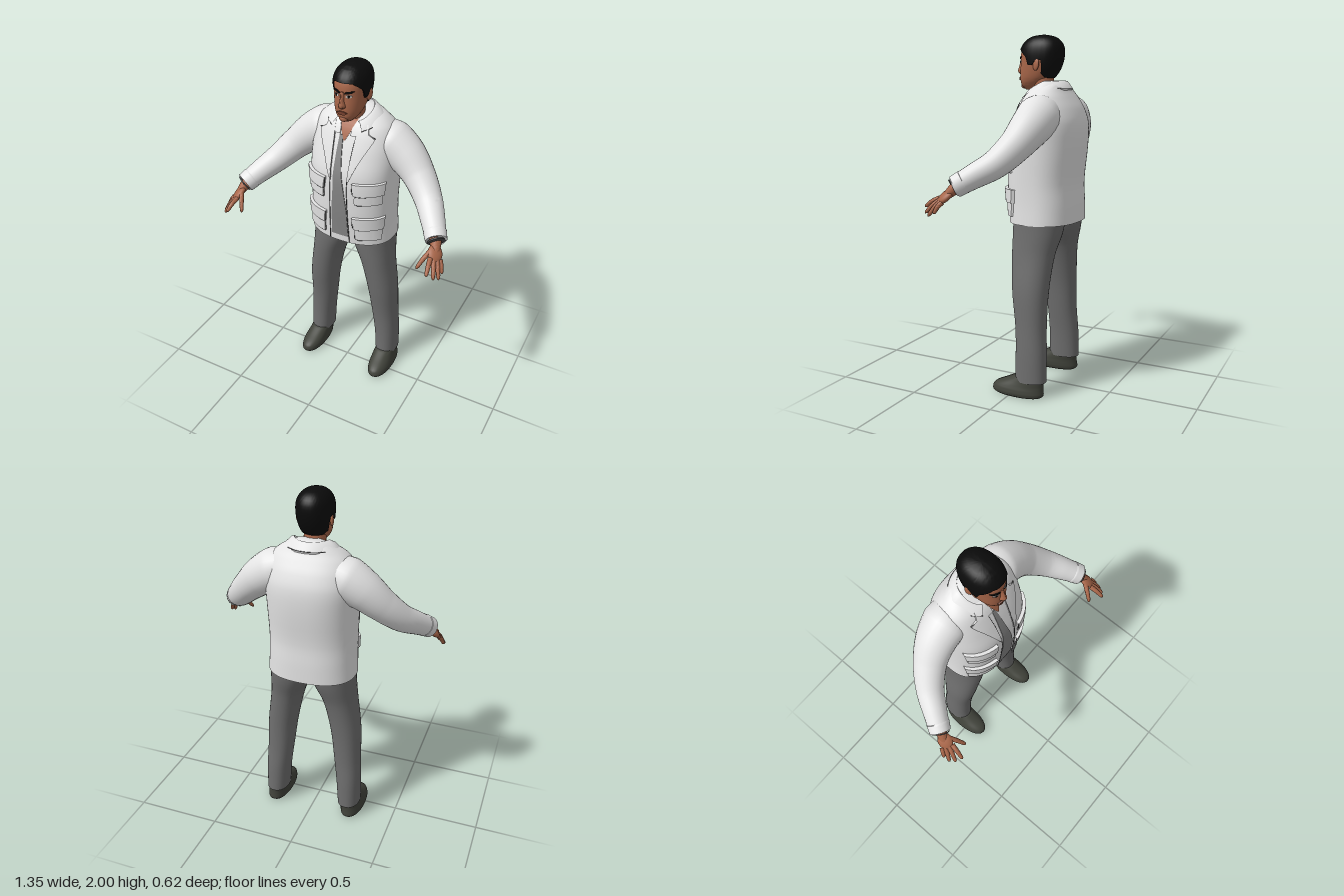
import * as THREE from 'three';
import { mergeVertices, toCreasedNormals } from 'three/addons/utils/BufferGeometryUtils.js';

const V = (x, y, z) => new THREE.Vector3(x, y, z);
const { clamp, lerp } = THREE.MathUtils;
const material = (name, color) => Object.assign(new THREE.MeshStandardMaterial({ color }), { name });

// Surface from a rule: normal follows dU x dV
function grid(nu, nv, fn, crease = 0.9) {
  const pos = [], index = [];
  for (let i = 0; i <= nu; i++) for (let j = 0; j <= nv; j++) pos.push(...fn(i, j));
  for (let i = 0; i < nu; i++) for (let j = 0; j < nv; j++) {
    const a = i * (nv + 1) + j, b = a + nv + 1;
    index.push(a, b, a + 1, b, b + 1, a + 1);
  }
  const g = new THREE.BufferGeometry();
  g.setAttribute('position', new THREE.Float32BufferAttribute(pos, 3));
  g.setIndex(index);
  return toCreasedNormals(mergeVertices(g, 1e-5), crease);
}

// Smooth cross-section at height y; rows are [y, centreX, halfWidth, frontZ, backZ]
function sample(rows, y) {
  let i = 0;
  while (i < rows.length - 2 && y > rows[i + 1][0]) i++;
  const a = rows[i], b = rows[i + 1], p = rows[i - 1] || a, n = rows[i + 2] || b;
  const h = b[0] - a[0], t = clamp((y - a[0]) / h, 0, 1), t2 = t * t, t3 = t2 * t;
  return a.map((_, k) => {
    const m0 = (b[k] - p[k]) / (b[0] - p[0]) * h, m1 = (n[k] - a[k]) / (n[0] - a[0]) * h;
    return a[k] * (2 * t3 - 3 * t2 + 1) + m0 * (t3 - 2 * t2 + t) + b[k] * (3 * t2 - 2 * t3) + m1 * (t3 - t2);
  });
}
const power = (c, n) => Math.sign(c) * Math.abs(c) ** (2 / n);
function ringPoint(rows, y, a, n, out = 0) {
  const [, cx, hw, zf, zb] = sample(rows, y);
  return [cx + (hw + out) * power(Math.cos(a), n), y, (zf + zb) / 2 + ((zf - zb) / 2 + out) * power(Math.sin(a), n)];
}
function loft(rows, n = 2.2, sides = 36, per = 4) {
  const steps = (rows.length - 1) * per;
  return grid(steps + 2, sides, (i, j) => {
    const k = clamp(i - 1, 0, steps) / per, r = Math.min(Math.floor(k), rows.length - 2);
    const y = lerp(rows[r][0], rows[r + 1][0], k - r);
    if (i === 0 || i === steps + 2) { const s = sample(rows, y); return [s[1], y, (s[3] + s[4]) / 2]; }
    return ringPoint(rows, y, (j % sides) / sides * Math.PI * 2, n);
  });
}
function frontZ(rows, n, x, y) {
  const [, cx, hw, zf, zb] = sample(rows, y);
  const k = Math.min(1, Math.abs((x - cx) / hw));
  return (zf + zb) / 2 + (zf - zb) / 2 * (1 - k ** n) ** (1 / n);
}
// Plate lying on the front of a loft; edges are [y, x0, x1] from low to high
function plate(rows, n, edges, off, s = 1) {
  const N = 14;
  return grid(N + 2, N + 2, (i, j) => {
    const u = clamp((i - 1) / N, 0, 1), y = lerp(edges[0][0], edges.at(-1)[0], clamp((j - 1) / N, 0, 1));
    let r = 0;
    while (r < edges.length - 2 && y > edges[r + 1][0]) r++;
    const a = edges[r], b = edges[r + 1], t = (y - a[0]) / (b[0] - a[0]);
    const x0 = lerp(a[1], b[1], t), x1 = lerp(a[2], b[2], t);
    const x = s > 0 ? lerp(x0, x1, u) : lerp(-x1, -x0, u);
    const rim = i === 0 || j === 0 || i === N + 2 || j === N + 2;
    const o = rim ? -0.003 : off;
    return [x * (1 + o * 2), y, frontZ(rows, n, x, y) + o];
  });
}
// Tapered tube; points are [x, y, z, radius]
function limb(points, s = 1, seg = 28, sides = 20) {
  const curve = new THREE.CatmullRomCurve3(points.map(p => V(p[0] * s, p[1], p[2])));
  const g = new THREE.TubeGeometry(curve, seg, 1, sides), pos = g.attributes.position, v = V(0, 0, 0);
  for (let i = 0; i <= seg; i++) {
    const c = curve.getPointAt(i / seg), t = curve.getUtoTmapping(i / seg) * (points.length - 1);
    const k = Math.min(Math.floor(t), points.length - 2), r = lerp(points[k][3], points[k + 1][3], t - k);
    for (let j = 0; j <= sides; j++) {
      const id = i * (sides + 1) + j;
      v.fromBufferAttribute(pos, id).sub(c).multiplyScalar(r).add(c);
      pos.setXYZ(id, v.x, v.y, v.z);
    }
  }
  g.deleteAttribute('uv');
  g.deleteAttribute('normal');
  return toCreasedNormals(mergeVertices(g, 1e-5), 0.9);
}

const TORSO = [[0.975, 0, 0.252, 0.085, -0.298], [1.08, 0, 0.247, 0.092, -0.297], [1.2, 0, 0.246, 0.1, -0.293],
  [1.4, 0, 0.25, 0.098, -0.313], [1.52, 0, 0.25, 0.062, -0.312], [1.6, 0, 0.238, 0.03, -0.285],
  [1.66, 0, 0.213, 0, -0.25], [1.695, 0, 0.175, -0.03, -0.228], [1.725, 0, 0.125, -0.08, -0.212], [1.75, 0, 0.075, -0.12, -0.19]];
const HEAD = [[1.705, 0, 0.03, 0.03, -0.05], [1.73, 0, 0.053, 0.054, -0.085], [1.76, 0, 0.07, 0.06, -0.12],
  [1.8, 0, 0.08, 0.06, -0.155], [1.85, 0, 0.086, 0.056, -0.178], [1.9, 0, 0.088, 0.054, -0.186],
  [1.94, 0, 0.081, 0.04, -0.18], [1.97, 0, 0.062, 0.012, -0.157], [1.987, 0, 0.036, -0.02, -0.125], [1.994, 0, 0.008, -0.06, -0.085]];
const LEG = [[0.09, 0.233, 0.066, -0.02, -0.203], [0.25, 0.226, 0.071, -0.022, -0.2], [0.4, 0.213, 0.077, -0.015, -0.192],
  [0.6, 0.196, 0.086, 0.012, -0.196], [0.8, 0.16, 0.096, 0.03, -0.215], [0.92, 0.13, 0.118, 0.036, -0.245], [1.02, 0.12, 0.125, 0.036, -0.26]];
const SHOE = [[0, 0.24, 0.058, 0.105, -0.18], [0.012, 0.242, 0.068, 0.12, -0.192], [0.04, 0.24, 0.068, 0.117, -0.19],
  [0.06, 0.238, 0.064, 0.095, -0.188], [0.085, 0.235, 0.06, 0.04, -0.188], [0.115, 0.233, 0.056, -0.02, -0.185]];
const TN = 2.4, HN = 2.2;

export function createModel() {
  const model = new THREE.Group();
  const skin = material('skin', 0xa86649), hair = material('hair', 0x0b0b0b), cloth = material('jacket cloth', 0xe4e4e4);
  const trouser = material('trouser cloth', 0x6f6f6f), leather = material('shoe leather', 0x40423a);
  const seam = material('seam', 0x4a4a4a), shirt = material('shirt', 0x858585);
  const eye = material('eye white', 0xd0cdc8), lip = material('lips', 0x7c4431);
  const add = (name, geometry, mat) => {
    const m = new THREE.Mesh(geometry, mat);
    m.name = name;
    model.add(m);
    return m;
  };
  const seamLine = (pts, off, s) => add('seam', limb(pts.map(([x, y]) =>
    [x * (1 + off * 2), y, frontZ(TORSO, TN, x, y) + off, 0.0022]), s, 24, 5), seam);

  // Jacket body, shirt front and neck opening
  add('jacketBody', loft(TORSO, TN, 56), cloth);
  add('shirtFront', plate(TORSO, TN, [[1.02, -0.05, 0.052], [1.2, -0.045, 0.046], [1.32, -0.036, 0.03],
    [1.48, -0.035, 0.004], [1.62, -0.032, -0.012]], 0.004), shirt);
  add('neckOpening', plate(TORSO, TN, [[1.595, -0.003, 0.003], [1.65, -0.03, 0.03], [1.7, -0.05, 0.05]], 0.006), skin);
  add('neck', limb([[0, 1.58, -0.12, 0.06], [0, 1.66, -0.098, 0.062], [0, 1.72, -0.08, 0.06], [0, 1.8, -0.07, 0.058]]), skin);

  // Turned-down collar: inside, fold and outer edge, open at the front
  const COLLAR = [[0.082, 0.085, -0.05], [0.098, 0.1, 0], [0.115, 0.112, -0.004], [0.152, 0.136, -0.04], [0.15, 0.132, -0.052]];
  const collar = add('collar', grid(4, 40, (i, j) => {
    const a = lerp(0.62, Math.PI * 2 - 0.62, j / 40), [rx, rz, dy] = COLLAR[i];
    const rise = Math.min(1, 0.8 * (1 - Math.cos(a)));
    return [rx * Math.sin(a), 1.69 + 0.062 * rise + dy, -0.1 + rz * Math.cos(a)];
  }), cloth.clone());
  collar.material.side = THREE.DoubleSide;
  add('seam', limb([...Array(17).keys()].map(k => {
    const a = lerp(0.62, Math.PI * 2 - 0.62, k / 16), rise = Math.min(1, 0.8 * (1 - Math.cos(a)));
    return [0.153 * Math.sin(a), 1.649 + 0.062 * rise, -0.1 + 0.137 * Math.cos(a), 0.002];
  }), 1, 60, 5), seam);

  // Head, hair and centre of the face
  add('head', loft(HEAD, HN, 40), skin);
  const HAIRLINE = [[0, 1.925], [0.5, 1.925], [0.85, 1.905], [1.15, 1.88], [1.3, 1.835], [1.5, 1.835],
    [1.62, 1.865], [1.85, 1.86], [2.0, 1.79], [2.4, 1.768], [3.15, 1.765]];
  add('hair', grid(17, 72, (i, j) => {
    const b = (j % 72) / 72 * Math.PI * 2, d = Math.min(b, Math.PI * 2 - b);
    const k = Math.max(1, HAIRLINE.findIndex(h => h[0] >= d)), [p, q] = [HAIRLINE[k - 1], HAIRLINE[k]];
    const low = lerp(p[1], q[1], (d - p[0]) / (q[0] - p[0]));
    const t = clamp((i - 1) / 15, 0, 1), y = lerp(low, 1.994, 1 - (1 - t) ** 1.6);
    if (i === 17) return [0, 2, -0.07];
    const pt = ringPoint(HEAD, y, b + Math.PI / 2, HN, i === 0 ? -0.006 : 0.009);
    return [pt[0], y + 0.005 * t, pt[2]];
  }).scale(1, 1, 1), hair);
  const hairMesh = model.children.at(-1);
  // b turns from the front toward -x, so the scalp faces outward
  hairMesh.name = 'hair';
  add('nose', loft([[1.788, 0, 0.01, 0.066, 0.03], [1.797, 0, 0.02, 0.077, 0.03], [1.808, 0, 0.019, 0.083, 0.03],
    [1.83, 0, 0.012, 0.077, 0.03], [1.88, 0, 0.01, 0.061, 0.03]], 2, 20), skin);
  add('lips', plate(HEAD, HN, [[1.756, -0.016, 0.016], [1.766, -0.03, 0.03], [1.775, -0.012, 0.012]], 0.007), lip);
  add('chin', new THREE.SphereGeometry(0.026, 20, 14).scale(1, 0.75, 0.8).translate(0, 1.728, 0.04), skin);

  for (const s of [1, -1]) {
    // Eyes, brows and ears
    add('eye', plate(HEAD, HN, [[1.85, 0.026, 0.042], [1.856, 0.019, 0.05], [1.863, 0.024, 0.046]], 0.003, s), eye);
    add('pupil', plate(HEAD, HN, [[1.85, 0.031, 0.039], [1.863, 0.03, 0.04]], 0.005, s), hair);
    add('eyebrow', plate(HEAD, HN, [[1.87, 0.014, 0.026], [1.876, 0.014, 0.052], [1.884, 0.03, 0.06]], 0.005, s), hair);
    const ear = add('ear', new THREE.SphereGeometry(1, 18, 14), skin);
    ear.scale.set(0.01, 0.034, 0.021);
    ear.position.set(s * 0.09, 1.838, -0.072);
    ear.rotation.set(-0.15, s * -0.35, 0);

    // Lapels and front edges
    add('lapel', plate(TORSO, TN, [[1.39, 0.05, 0.056], [1.5, 0.054, 0.1], [1.6, 0.06, 0.15], [1.625, 0.062, 0.16],
      [1.64, 0.064, 0.125], [1.685, 0.07, 0.11]], 0.009, s), cloth);
    seamLine([[0.07, 1.68], [0.06, 1.6], [0.054, 1.5], [0.05, 1.38], [0.053, 1.2], [0.06, 0.985]], 0.007, s);
    seamLine([[0.056, 1.39], [0.1, 1.5], [0.15, 1.6], [0.161, 1.626]], 0.006, s);
    seamLine([[0.161, 1.626], [0.125, 1.638], [0.105, 1.665]], 0.006, s);
    add('shirtCollar', plate(TORSO, TN, [[1.625, 0.03, 0.06], [1.66, 0.032, 0.075], [1.7, 0.048, 0.08]], 0.008, s), cloth);

    // Patch pockets with flaps
    for (const [low, mid, high] of [[1.255, 1.315, 1.385], [1.015, 1.09, 1.165]]) {
      add('pocket', plate(TORSO, TN, [[low, 0.095, 0.222], [high - 0.01, 0.09, 0.225]], 0.01, s), cloth);
      add('pocketFlap', plate(TORSO, TN, [[mid, 0.09, 0.228], [high, 0.08, 0.232]], 0.018, s), cloth);
      seamLine([[0.08, high], [0.09, mid], [0.16, mid - 0.003], [0.228, mid]], 0.012, s);
      seamLine([[0.095, mid], [0.096, low], [0.16, low - 0.002], [0.222, low]], 0.004, s);
    }

    // Sleeve and cuff
    add('sleeve', limb([[0.11, 1.585, -0.14, 0.1], [0.2, 1.555, -0.14, 0.122], [0.29, 1.5, -0.13, 0.108],
      [0.38, 1.42, -0.098, 0.089], [0.47, 1.33, -0.03, 0.075], [0.535, 1.272, 0.055, 0.065], [0.588, 1.222, 0.132, 0.054],
      [0.589, 1.221, 0.134, 0.001]], s, 56, 28), cloth);
    add('cuff', limb([[0.567, 1.243, 0.1, 0.055], [0.568, 1.242, 0.102, 0.062], [0.594, 1.216, 0.141, 0.057], [0.595, 1.215, 0.143, 0.047]], s, 12, 28), cloth);
    add('cuffShadow', limb([[0.594, 1.216, 0.141, 0.05], [0.597, 1.213, 0.145, 0.048], [0.598, 1.212, 0.146, 0.001]], s, 8, 24), seam);

    // Hand
    add('wrist', limb([[0.57, 1.24, 0.105, 0.032], [0.592, 1.205, 0.145, 0.031], [0.612, 1.165, 0.185, 0.02]], s), skin);
    const D = V(0.045 * s, -0.085, 0.09).normalize(), W = V(-0.06 * s, 0.02, 0.055);
    W.addScaledVector(D, -W.dot(D)).normalize();
    const palm = add('palm', new THREE.SphereGeometry(1, 20, 14).scale(0.041, 0.021, 0.052), skin);
    palm.quaternion.setFromRotationMatrix(new THREE.Matrix4().makeBasis(W, D.clone().cross(W), D));
    palm.position.set(0.609 * s, 1.168, 0.185);
    const TIPS = [[0.615, 1.105, 0.309], [0.647, 1.078, 0.287], [0.666, 1.066, 0.258], [0.668, 1.082, 0.222], [0.542, 1.1, 0.268]];
    TIPS.forEach(([x, y, z], i) => {
      const thumb = i === 4, k = palm.position.clone().addScaledVector(D, thumb ? -0.012 : 0.03).addScaledVector(W, thumb ? 0.025 : 0.028 - i * 0.019);
      const at = (t, r) => [lerp(k.x * s, x, t), lerp(k.y, y, t) + 0.03 * t * (1 - t), lerp(k.z, z, t), r];
      add(thumb ? 'thumb' : 'finger', limb([at(0, 0.014), at(0.5, 0.0125), at(0.88, 0.01), at(0.97, 0.006), at(1, 0.0005)], s, 16, 12), skin);
    });

    // Trouser leg and shoe
    const mirrored = rows => rows.map(([y, cx, ...rest]) => [y, cx * s, ...rest]);
    add('trouserLeg', loft(mirrored(LEG), 2.2, 36, 5), trouser);
    add('shoe', loft(mirrored(SHOE), 2.2, 36, 4), leather);
  }
  // Share one double-sided cloth for all jacket parts
  cloth.side = THREE.DoubleSide;
  collar.material = cloth;
  return model;
}
